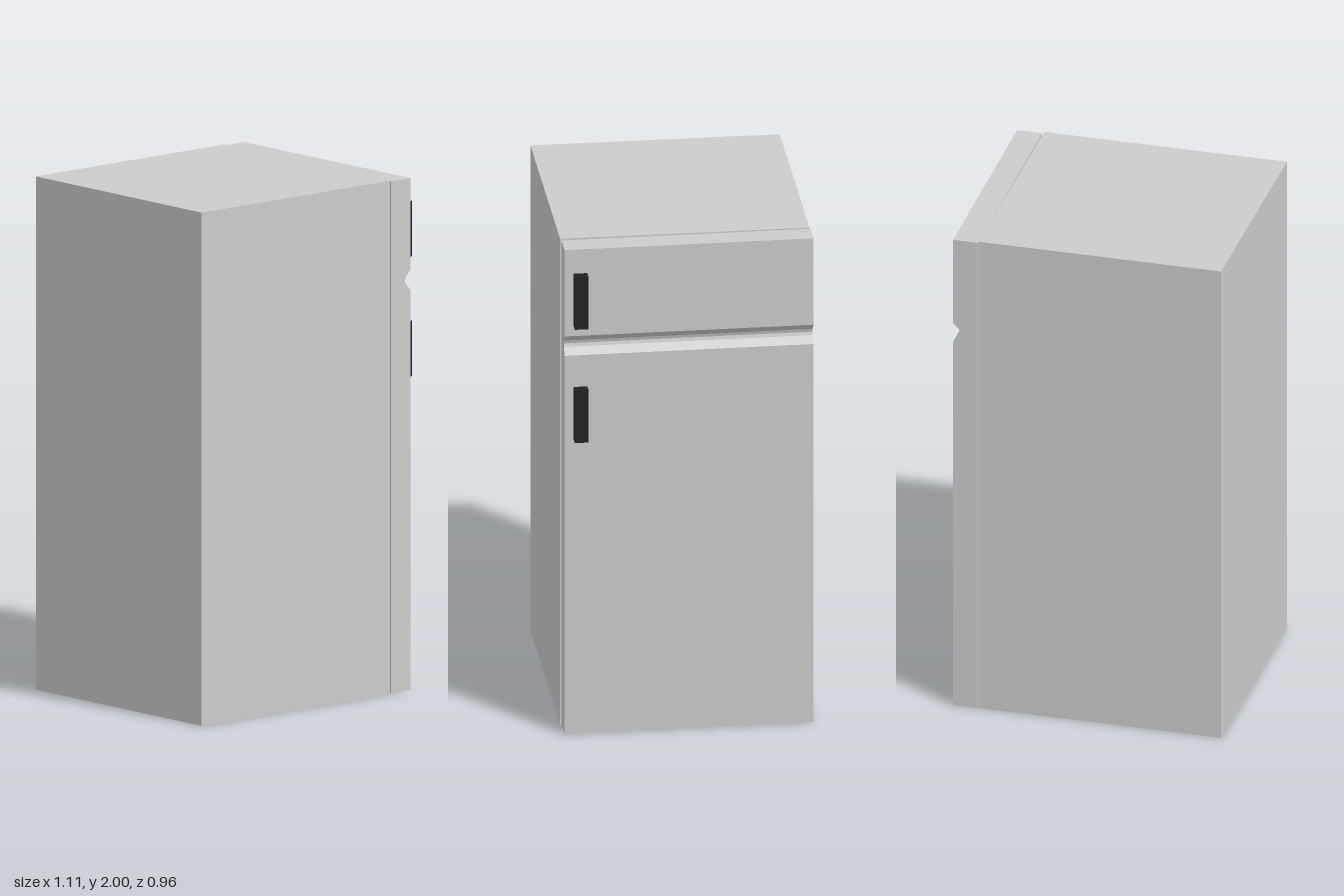
import * as THREE from 'three';

const grey = new THREE.MeshStandardMaterial({ color: 0xcccccc, flatShading: true });
const dark = new THREE.MeshStandardMaterial({ color: 0x222222, flatShading: true });

function box(name, material, size, position) {
  const mesh = new THREE.Mesh(new THREE.BoxGeometry(...size), material);
  mesh.name = name;
  mesh.position.set(...position);
  return mesh;
}

export function createModel() {
  const fridge = new THREE.Group();
  fridge.name = 'refrigerator';

  // Cabinet, with its doors on the +x side
  fridge.add(box('cabinet', grey, [0.96, 2, 0.96], [-0.073, 1, 0]));

  // Door assembly, standing very slightly ajar
  const doorAssembly = new THREE.Group();
  doorAssembly.name = 'doorAssembly';
  doorAssembly.position.set(0.412, 0, -0.0035);
  doorAssembly.rotation.y = 0.0078;
  fridge.add(doorAssembly);

  // Door slab profile with the groove between freezer and fridge sections
  const thickness = 0.099;
  const profile = new THREE.Shape([
    [0, 0.002], [thickness, 0.002], [thickness, 1.56], [0.074, 1.587], [0.07, 1.6],
    [0.074, 1.613], [thickness, 1.64], [thickness, 1.996], [0, 1.996],
  ].map(([x, y]) => new THREE.Vector2(x, y)));
  const slab = new THREE.ExtrudeGeometry(profile, { depth: 0.959, bevelEnabled: false });
  slab.translate(0, 0, -0.4795);
  const door = new THREE.Mesh(slab, grey);
  door.name = 'door';
  doorAssembly.add(door);

  // Inner liners bridging the gap to the cabinet
  for (const [name, bottom, top] of [['fridgeLiner', 0.1, 1.52], ['freezerLiner', 1.68, 1.9]]) {
    doorAssembly.add(box(name, grey, [0.03, top - bottom, 0.765], [-0.01, (bottom + top) / 2, 0.0035]));
  }

  // One upright handle per door section
  for (const [name, y] of [['freezerHandle', 1.789], ['fridgeHandle', 1.322]]) {
    fridge.add(box(name, dark, [0.041, 0.216, 0.053], [0.5325, y, 0.4145]));
  }
  return fridge;
}
